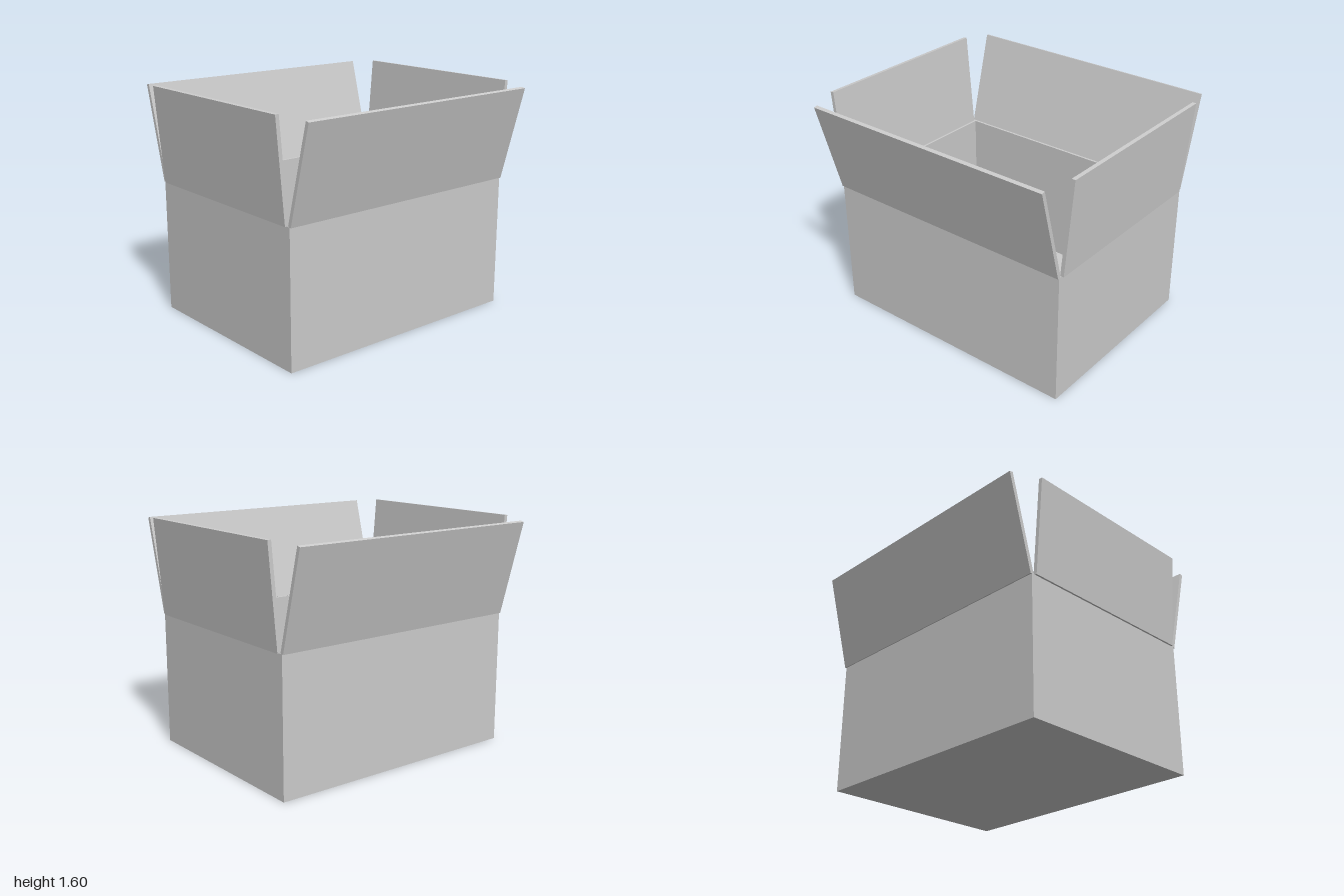
import * as THREE from 'three';

const T = 0.026;          // board thickness
const W = 0.927;          // half width
const D = 0.702;          // half depth
const RIM = 0.928;        // top of the walls
const FLAP = 0.675;       // flap length

export function createModel() {
  const group = new THREE.Group();
  group.name = 'openCarton';
  const material = new THREE.MeshStandardMaterial({ color: 0xcccccc, flatShading: true });

  const panel = (name, w, h, d, x, y, z) => {
    const mesh = new THREE.Mesh(new THREE.BoxGeometry(w, h, d), material);
    mesh.name = name;
    mesh.position.set(x, y, z);
    group.add(mesh);
    return mesh;
  };

  // Bottom panel
  panel('bottom', 2 * W, T, 2 * D, 0, T / 2, 0);

  const wallH = RIM - T;
  const wallY = T + wallH / 2;
  const sideDepth = 2 * (D - T);

  for (const s of [1, -1]) {
    const zName = s > 0 ? 'front' : 'back';
    const xName = s > 0 ? 'left' : 'right';

    // Walls: front and back run full width, sides fit between them
    panel(zName + 'Wall', 2 * W, wallH, T, 0, wallY, s * (D - T / 2));
    panel(xName + 'Wall', T, wallH, sideDepth, s * (W - T / 2), wallY, 0);

    // Long flaps lean out 15 degrees, hinged at their lower edge
    const longFlap = panel(zName + 'Flap', 2 * W, FLAP, T, 0, RIM, s * 0.7);
    longFlap.geometry.translate(0, FLAP / 2, 0);
    longFlap.rotation.x = s * THREE.MathUtils.degToRad(15);

    // Short flaps lean out 5 degrees
    const sideFlap = panel(xName + 'Flap', T, FLAP, sideDepth, s * 0.928, RIM, 0);
    sideFlap.geometry.translate(0, FLAP / 2, 0);
    sideFlap.rotation.z = -s * THREE.MathUtils.degToRad(5);
  }
  return group;
}
